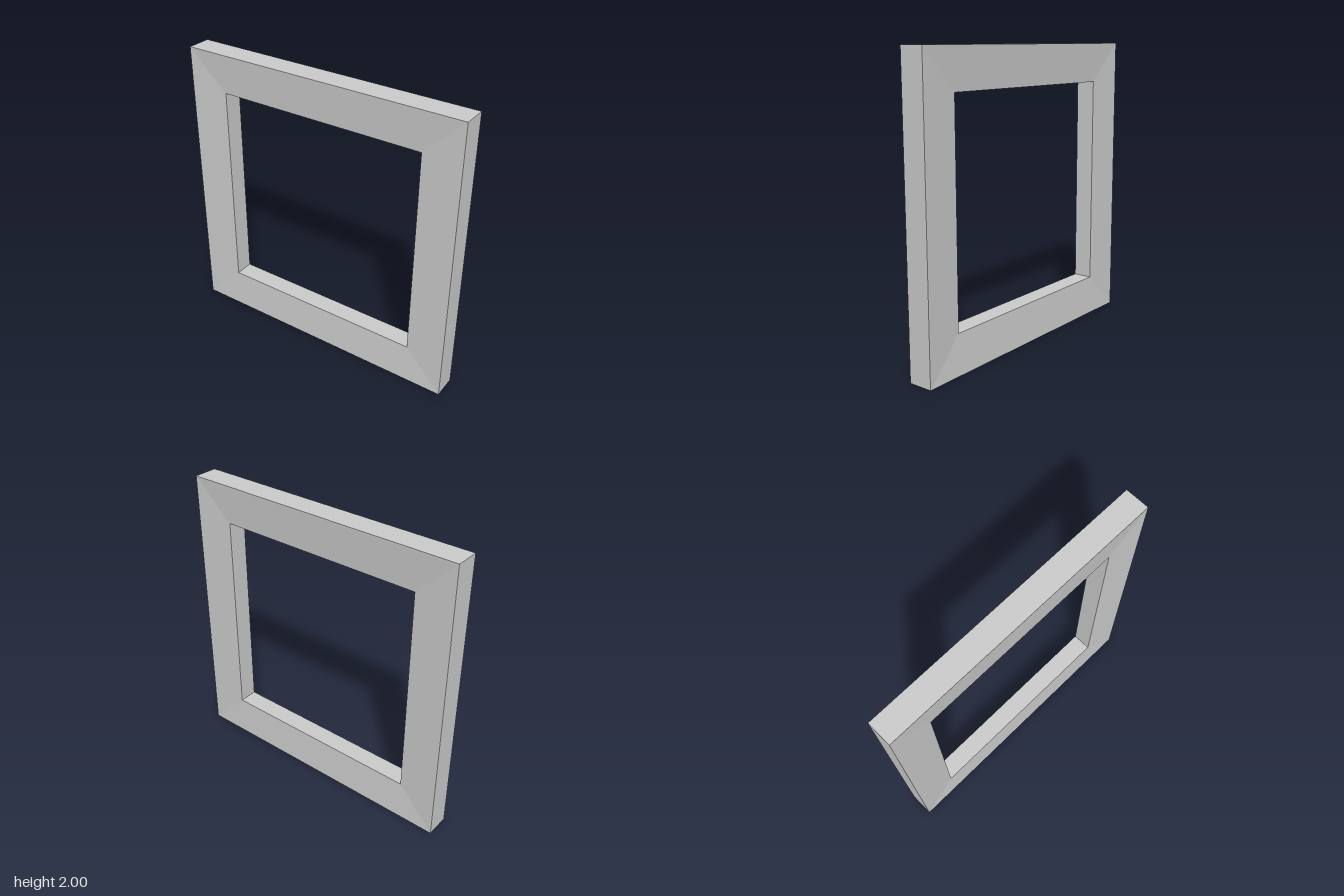
import * as THREE from 'three';

export function createModel() {
  const group = new THREE.Group();
  group.name = 'squareFrame';

  const outer = 1, inner = 0.73;            // half widths of the outside and the opening
  const outerDepth = 0.084, innerDepth = 0.067; // half depths: faces slope in toward the opening

  // Closed cross-section of one rail, swept around four mitred corners
  const corner = (halfWidth, z) => new THREE.Vector2(halfWidth * Math.SQRT2, z);
  const profile = [
    corner(outer, -outerDepth),
    corner(outer, outerDepth),
    corner(inner, innerDepth),
    corner(inner, -innerDepth),
    corner(outer, -outerDepth),
  ];
  const geometry = new THREE.LatheGeometry(profile, 4, Math.PI / 4)
    .rotateX(Math.PI / 2)
    .translate(0, outer, 0)
    .toNonIndexed();
  geometry.computeVertexNormals();

  const frame = new THREE.Mesh(
    geometry,
    new THREE.MeshStandardMaterial({ color: 0xcccccc, flatShading: true })
  );
  frame.name = 'mitredFrame';
  group.add(frame);
  return group;
}
